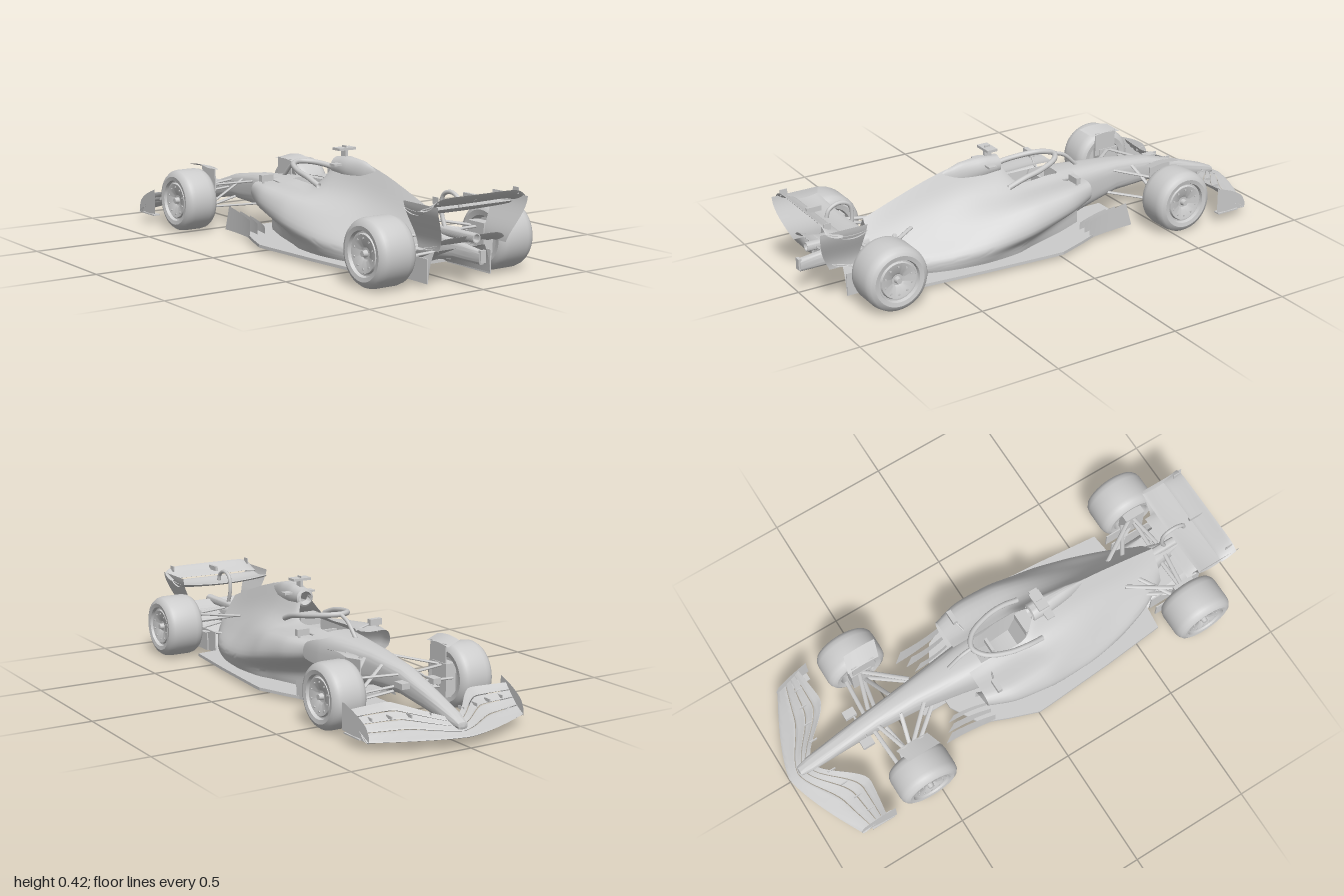
import * as THREE from 'three';
import { toCreasedNormals } from 'three/addons/utils/BufferGeometryUtils.js';

const V = (x, y, z) => new THREE.Vector3(x, y, z);
const lerp = THREE.MathUtils.lerp;

// grid surface from a rule fn(u, v) -> Vector3
function surface(fn, nu, nv, crease = 0.7) {
  const pos = [], idx = [];
  for (let i = 0; i <= nu; i++) for (let j = 0; j <= nv; j++) {
    pos.push(...fn(i / nu, j / nv).toArray());
    if (i < nu && j < nv) {
      const a = i * (nv + 1) + j, b = a + nv + 1;
      idx.push(a, b, a + 1, b, b + 1, a + 1);
    }
  }
  const g = new THREE.BufferGeometry();
  g.setAttribute('position', new THREE.Float32BufferAttribute(pos, 3));
  g.setIndex(idx);
  return toCreasedNormals(g, crease);
}

// smooth interpolation of rows [z, a, b, ...]
function rowAt(rows, u) {
  const f = u * (rows.length - 1), i = Math.min(Math.floor(f), rows.length - 2);
  return rows[i].map((a, k) => lerp(a, rows[i + 1][k], f - i));
}

// closed aerofoil whose edges are given along the span
function wing(edge, thick, camber, n = 24) {
  return surface((u, v) => {
    const { le, te } = edge(u * 2 - 1), t = (1 - Math.cos(v * 2 * Math.PI)) / 2;
    const p = le.clone().lerp(te, t);
    p.y += Math.sin(v * 2 * Math.PI) * thick / 2 - camber * 4 * t * (1 - t);
    return p;
  }, n, 16);
}

export function createModel() {
  const car = new THREE.Group();
  car.name = 'racingCar';
  const grey = new THREE.MeshStandardMaterial({ color: 0xcccccc, side: THREE.DoubleSide });
  grey.name = 'light grey';

  const add = (name, geo, parent = car) => {
    const m = new THREE.Mesh(geo, grey);
    m.name = name;
    parent.add(m);
    return m;
  };
  const box = (name, w, h, d, x, y, z, parent) => {
    const m = add(name, new THREE.BoxGeometry(w, h, d), parent);
    m.position.set(x, y, z);
    return m;
  };
  // flattened rod between two points
  const rod = (name, a, b, r, flat = 1) => {
    const m = add(name, new THREE.CylinderGeometry(r, r, a.distanceTo(b), 10));
    m.position.copy(a).lerp(b, 0.5);
    m.lookAt(b);
    m.rotateX(Math.PI / 2);
    m.scale.set(1, 1, flat);
    return m;
  };
  const tube = (name, pts, r, n = 32) =>
    add(name, new THREE.TubeGeometry(new THREE.CatmullRomCurve3(pts), n, r, 10));
  const plate = (name, pts, depth) => add(name, new THREE.ExtrudeGeometry(
    new THREE.Shape(pts.map(p => new THREE.Vector2(...p))), { depth, bevelEnabled: false }));

  // nose, survival cell and gearbox: z, half width, bottom, top, opening half width, opening floor
  const tub = [
    [-0.955, 0.001, 0.07, 0.071, 0, 1], [-0.95, 0.02, 0.058, 0.085, 0, 1], [-0.9, 0.029, 0.06, 0.108, 0, 1],
    [-0.75, 0.035, 0.085, 0.16, 0, 1], [-0.6, 0.042, 0.105, 0.207, 0, 1], [-0.42, 0.057, 0.1, 0.234, 0, 1],
    [-0.24, 0.082, 0.06, 0.248, 0, 1], [-0.14, 0.096, 0.03, 0.254, 0, 1], [-0.12, 0.098, 0.03, 0.254, 0.045, 0.15],
    [0, 0.1, 0.03, 0.254, 0.06, 0.1], [0.11, 0.1, 0.03, 0.254, 0.055, 0.12], [0.13, 0.1, 0.03, 0.25, 0, 1],
    [0.5, 0.07, 0.03, 0.2, 0, 1], [0.72, 0.05, 0.07, 0.19, 0, 1], [0.85, 0.02, 0.09, 0.155, 0, 1],
    [0.99, 0.014, 0.09, 0.14, 0, 1], [0.995, 0.001, 0.114, 0.115, 0, 1]];
  add('chassis', surface((u, v) => {
    const [z, hw, b, t, w, floor] = rowAt(tub, u), a = v * 2 * Math.PI - Math.PI / 2;
    const pw = q => Math.sign(q) * Math.abs(q) ** 0.65;
    const x = hw * pw(Math.cos(a));
    let y = (b + t) / 2 + (t - b) / 2 * pw(Math.sin(a));
    if (Math.abs(x) < w && y > floor) y = floor;
    return V(x, y, z);
  }, (tub.length - 1) * 2, 48));

  // sidepods flowing into the engine cover: z, then x, y pairs from floor to spine
  const pods = [
    [-0.19, 0.1, 0.04, 0.11, 0.12, 0.198, 0.185, 0.19, 0.237, 0.1, 0.244, 0.062, 0.252],
    [-0.08, 0.13, 0.03, 0.14, 0.09, 0.235, 0.165, 0.215, 0.235, 0.1, 0.245, 0.06, 0.258],
    [0.07, 0.175, 0.03, 0.19, 0.07, 0.25, 0.135, 0.21, 0.22, 0.1, 0.24, 0.06, 0.26],
    [0.16, 0.205, 0.03, 0.215, 0.065, 0.247, 0.115, 0.195, 0.205, 0.085, 0.25, 0, 0.37],
    [0.3, 0.215, 0.03, 0.225, 0.055, 0.233, 0.095, 0.165, 0.175, 0.062, 0.255, 0, 0.367],
    [0.45, 0.195, 0.03, 0.2, 0.05, 0.198, 0.08, 0.13, 0.145, 0.05, 0.235, 0, 0.332],
    [0.6, 0.145, 0.03, 0.15, 0.045, 0.147, 0.075, 0.1, 0.13, 0.045, 0.2, 0, 0.282],
    [0.72, 0.085, 0.05, 0.088, 0.07, 0.08, 0.1, 0.064, 0.14, 0.035, 0.185, 0, 0.238]];
  const rails = [0, 1, 2, 3, 4, 5].map(k => new THREE.CatmullRomCurve3(
    pods.map(r => V(r[1 + 2 * k], r[2 + 2 * k], r[0])), false, 'catmullrom', 0.4));
  for (const s of [-1, 1]) add('sidepodAndEngineCover', surface((u, v) => {
    const p = new THREE.CatmullRomCurve3(rails.map(r => r.getPoint(u))).getPoint(v);
    return V(s * Math.max(p.x, 0), p.y, p.z);
  }, 42, 24, 1));

  // air intake above the cockpit, with camera bar and small winglets
  const scoop = [[0.15, 0.022, 0.315, 0.352], [0.125, 0.03, 0.305, 0.36], [0.13, 0.038, 0.297, 0.372],
    [0.2, 0.038, 0.285, 0.38], [0.3, 0.025, 0.27, 0.372], [0.4, 0.004, 0.26, 0.34]];
  add('airIntake', surface((u, v) => {
    const [z, w, b, t] = rowAt(scoop, u), a = v * 2 * Math.PI;
    return V(w * Math.cos(a), (b + t) / 2 + (t - b) / 2 * Math.sin(a), z);
  }, 20, 24));
  box('cameraPost', 0.012, 0.05, 0.03, 0, 0.385, 0.17);
  box('cameraBar', 0.08, 0.01, 0.045, 0, 0.406, 0.17);
  box('cameraFin', 0.004, 0.02, 0.025, 0, 0.408, 0.17);
  box('intakeWinglets', 0.14, 0.008, 0.035, 0, 0.349, 0.185);

  // cockpit details
  tube('halo', [V(0.095, 0.262, 0.13), V(0.098, 0.287, 0.06), V(0.088, 0.3, -0.02), V(0.05, 0.314, -0.11), V(0, 0.318, -0.14),
    V(-0.05, 0.314, -0.11), V(-0.088, 0.3, -0.02), V(-0.098, 0.287, 0.06), V(-0.095, 0.262, 0.13)], 0.011, 48);
  tube('haloPillar', [V(0, 0.318, -0.14), V(0, 0.3, -0.19), V(0, 0.245, -0.25)], 0.008, 12);
  box('headrest', 0.09, 0.05, 0.05, 0, 0.25, 0.11);
  box('seat', 0.09, 0.1, 0.02, 0, 0.18, 0.08).rotation.x = 0.3;
  box('steeringWheel', 0.06, 0.035, 0.012, 0, 0.225, -0.06);

  // floor, central plank and tail
  const edge = [[0.08, 0.3], [0.2, 0.23], [0.245, 0.12], [0.288, 0], [0.286, -0.05], [0.265, -0.35], [0.24, -0.61], [0.15, -0.62]];
  const floor = plate('floor', [...edge, ...edge.map(([x, y]) => [-x, y]).reverse()], 0.012);
  floor.rotation.x = -Math.PI / 2;
  floor.position.y = 0.018;
  box('plank', 0.1, 0.008, 0.95, 0, 0.014, 0.07);
  add('diffuser', surface((u, v) => {
    const x = lerp(-0.145, 0.145, v), a = Math.abs(x) / 0.145;
    const arch = Math.min(1, 1.5 * Math.sin(Math.PI * Math.min(1, 0.12 + a * 0.88)) ** 0.6);
    return V(x, 0.02 + 0.11 * u ** 1.3 * arch, lerp(0.56, 0.87, u));
  }, 14, 40));

  // curved cross-section for the narrowing end plates of the rear wing
  const endX = y => 0.155 + 0.052 * THREE.MathUtils.smoothstep(y, 0.15, 0.32);
  for (const s of [-1, 1]) {
    box('diffuserWall', 0.005, 0.09, 0.24, s * 0.147, 0.062, 0.75);
    box('floorFence', 0.005, 0.075, 0.14, s * 0.185, 0.07, 0.7);
    // swept vanes ahead of the floor
    [[0.2, 0.12, -0.36], [0.165, 0.1, -0.33], [0.13, 0.08, -0.31]].forEach(([x, h, z]) =>
      add('turningVane', surface((u, v) => V(s * (x + 0.02 * u * u),
        lerp(0.018, lerp(h, h * 0.75, u), v), lerp(z - 0.03 * (1 - v), -0.17, u)), 8, 2)));

    // mirrors
    box('mirror', 0.055, 0.026, 0.02, s * 0.168, 0.266, -0.13);
    rod('mirrorStalk', V(s * 0.09, 0.235, -0.11), V(s * 0.15, 0.262, -0.13), 0.004);
    rod('mirrorStay', V(s * 0.18, 0.225, -0.13), V(s * 0.18, 0.262, -0.13), 0.004);

    // wheels with recessed covers, hubs and bolts
    [['frontWheel', -0.545, 0.283, 0.145, 0.127], ['rearWheel', 0.757, 0.275, 0.16, 0.128]].forEach(([name, z, x, w, R]) => {
      const h = w / 2;
      const wheel = new THREE.Group();
      wheel.name = name;
      const outline = [[0, -h + 0.03], [0.07, -h + 0.03], [0.08, -h + 0.004], [0.1, -h], [0.115, -h + 0.007], [0.124, -h + 0.02],
        [R, -h + 0.038], [R, h - 0.038], [0.124, h - 0.02], [0.115, h - 0.007], [0.1, h], [0.084, h - 0.003],
        [0.08, h - 0.016], [0.074, h - 0.016], [0.07, h - 0.008], [0.03, h - 0.016], [0.022, h - 0.022], [0, h - 0.022]];
      add('tyreAndRim', toCreasedNormals(new THREE.LatheGeometry(
        outline.map(p => new THREE.Vector2(...p)), 48), 0.6), wheel);
      add('hubNut', new THREE.CylinderGeometry(0.011, 0.014, 0.02, 12), wheel).position.y = h - 0.014;
      for (let i = 0; i < 10; i++) {
        const a = i * Math.PI / 5;
        add('bolt', new THREE.CylinderGeometry(0.004, 0.004, 0.006, 8), wheel)
          .position.set(0.056 * Math.cos(a), h - 0.01, 0.056 * Math.sin(a));
      }
      wheel.rotation.z = -s * Math.PI / 2;
      wheel.position.set(s * x, 0.131, z);
      car.add(wheel);
      box('brakeDuct', 0.045, 0.13, 0.09, s * (x - h - 0.002), 0.125, z);
    });

    // wheel arch winglet
    add('wheelWinglet', surface((u, v) => V(s * lerp(0.185, 0.252, v), 0.257 + 0.016 * v + 0.008 * Math.sin(u * Math.PI),
      lerp(-0.6, -0.46, u) + 0.02 * v), 8, 4));
    box('wingletStay', 0.005, 0.1, 0.1, s * 0.192, 0.215, -0.53);

    // wishbones, push rods and driveshafts
    const front = V(s * 0.2, 0.18, -0.55), frontLow = V(s * 0.2, 0.09, -0.54);
    [[front, V(s * 0.04, 0.185, -0.6)], [front, V(s * 0.058, 0.205, -0.4)], [frontLow, V(s * 0.04, 0.115, -0.57)],
      [frontLow, V(s * 0.06, 0.115, -0.37)], [frontLow, V(s * 0.045, 0.2, -0.5)], [V(s * 0.2, 0.14, -0.61), V(s * 0.04, 0.15, -0.62)]]
      .forEach(([a, b]) => rod('frontWishbone', a, b, 0.009, 0.5));
    const rear = V(s * 0.19, 0.17, 0.75), rearLow = V(s * 0.19, 0.095, 0.76);
    [[rear, V(s * 0.065, 0.185, 0.55)], [rear, V(s * 0.03, 0.175, 0.77)], [rearLow, V(s * 0.07, 0.1, 0.56)],
      [rearLow, V(s * 0.025, 0.11, 0.79)], [V(s * 0.2, 0.131, 0.757), V(s * 0.02, 0.135, 0.75)], [V(s * 0.18, 0.15, 0.7), V(s * 0.06, 0.17, 0.62)]]
      .forEach(([a, b]) => rod('rearWishbone', a, b, 0.009, 0.6));

    // nose camera pods
    box('noseCamera', 0.035, 0.022, 0.05, s * 0.07, 0.165, -0.67);
    rod('noseCameraStalk', V(s * 0.02, 0.16, -0.66), V(s * 0.06, 0.165, -0.66), 0.005);

    // wing end plates
    add('frontEndPlate', surface((u, v) => V(s * (0.34 + 0.012 * u),
      lerp(0.035 + 0.015 * u, 0.06 + 0.095 * Math.sqrt(u), v), lerp(-0.865, -0.71, u)), 10, 4));
    box('frontEndPlateFoot', 0.03, 0.005, 0.1, s * 0.337, 0.042, -0.77);
    add('rearEndPlate', surface((u, v) => {
      const y = lerp(0.145, 0.315, v);
      return V(s * endX(y), y, lerp(0.825 - 0.02 * v, 0.94 + 0.055 * Math.sin(v * Math.PI / 2), u));
    }, 4, 14));
  }

  // front wing: four swept elements stacked along the chord
  [[0, 0.36], [0.38, 0.6], [0.62, 0.8], [0.82, 1]].forEach(([f0, f1]) => add('frontWingElement', wing(q => {
    const a = Math.abs(q);
    const at = f => V(0.345 * q,
      lerp(0.045 - 0.005 * a, 0.085 + 0.05 * Math.min(1, a * 2), f ** 1.4),
      lerp(-1 + 0.14 * a ** 1.35, -0.89 + 0.165 * THREE.MathUtils.smoothstep(a, 0, 0.6) - 0.025 * a * a, f));
    return { le: at(f0), te: at(f1) };
  }, 0.009, 0.004, 40)));
  for (let i = -4; i <= 4; i++) if (i) box('flapBracket', 0.004, 0.012, 0.035, i * 0.072, 0.1, -0.86 + Math.abs(i) * 0.018);

  // rear wing: main plane, flap with drooping tips, and lower beam wing
  const span = (w, y0, z0, y1, z1, droop, lift) => q => {
    const d = droop * Math.abs(q) ** 10, l = lift * q * q;
    return { le: V(w * q, y0 + l - d * 0.4, z0), te: V(w * q, y1 - d, z1) };
  };
  add('rearWingMainPlane', wing(span(0.206, 0.276, 0.805, 0.289, 0.92, 0, 0.014), 0.014, 0.012, 40));
  add('rearWingFlap', wing(span(0.212, 0.298, 0.905, 0.34, 0.975, 0.025, 0.004), 0.009, 0.005, 40));
  add('beamWing', wing(span(0.158, 0.15, 0.86, 0.185, 0.93, 0.02, 0.005), 0.009, 0.006));
  add('lowerBeamWing', wing(span(0.156, 0.145, 0.8, 0.158, 0.87, 0.01, 0), 0.008, 0.005));
  box('flapActuator', 0.012, 0.02, 0.06, 0, 0.325, 0.92);
  for (const x of [-0.185, 0.185]) box('flapTab', 0.003, 0.025, 0.03, x, 0.333, 0.955);

  // swan neck support, exhaust and tail light
  tube('swanNeck', [V(0, 0.16, 0.8), V(0, 0.25, 0.765), V(0, 0.31, 0.775), V(0, 0.325, 0.82), V(0, 0.305, 0.86), V(0, 0.275, 0.87)], 0.008, 24);
  const exhaust = add('exhaust', toCreasedNormals(new THREE.LatheGeometry(
    [[0.018, -0.13], [0.018, 0.13], [0.014, 0.13], [0.013, -0.1], [0, -0.1]].map(p => new THREE.Vector2(...p)), 24), 0.6));
  exhaust.rotation.x = Math.PI / 2;
  exhaust.position.set(0, 0.18, 0.83);
  box('tailLight', 0.024, 0.045, 0.012, 0, 0.12, 0.992);

  return car;
}
